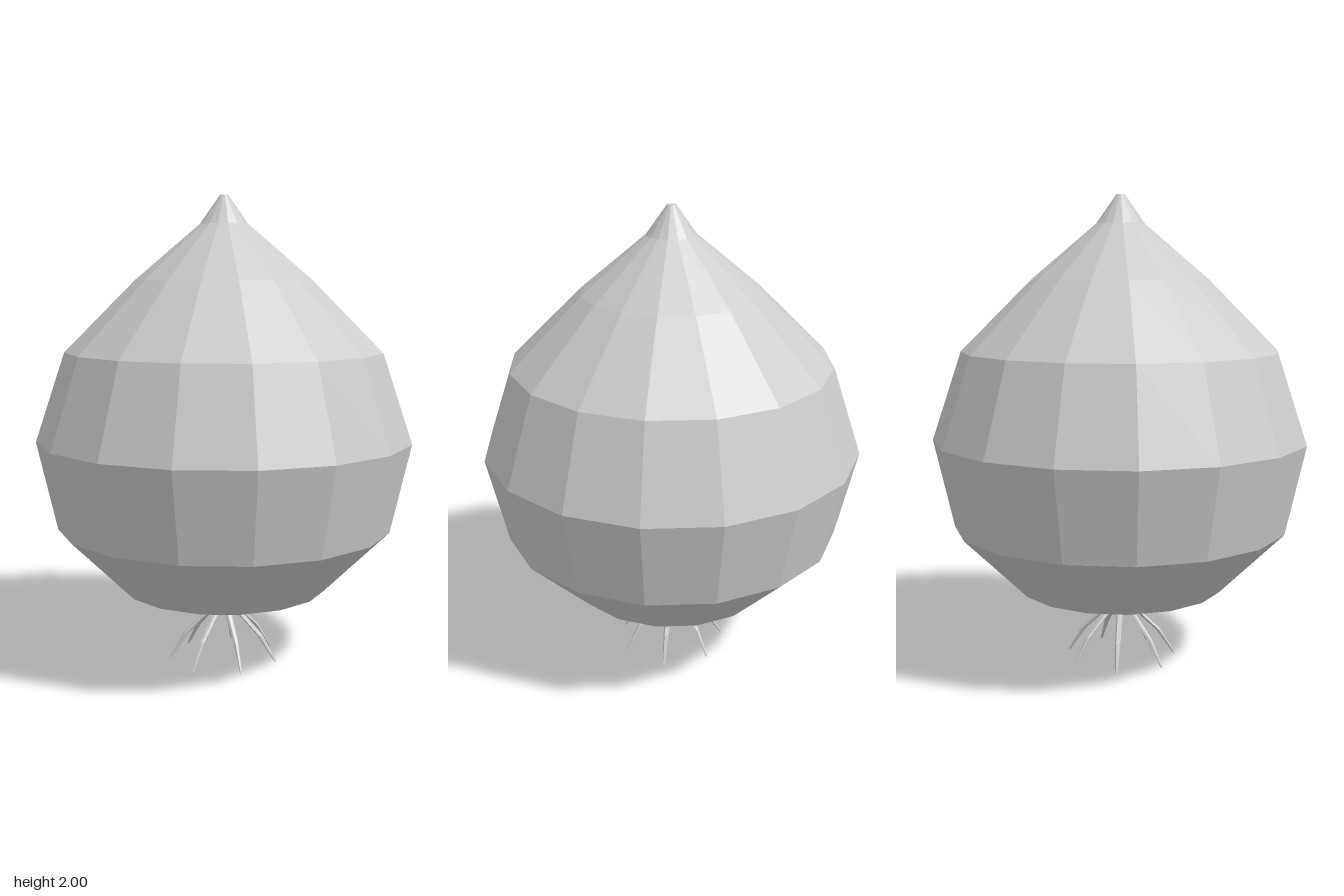
import * as THREE from 'three';

export function createModel() {
  const model = new THREE.Group();
  model.name = 'onion';
  const skin = new THREE.MeshStandardMaterial({ color: 0xcccccc, flatShading: true });
  skin.name = 'pale grey';

  // Bulb: sixteen-sided profile from the flat base up to the blunt tip
  const profile = [
    [0, 0.215], [0.1, 0.215], [0.44, 0.325], [0.715, 0.597], [0.8, 0.975],
    [0.675, 1.35], [0.375, 1.65], [0.103, 1.88], [0.018, 2], [0, 2],
  ].map(([r, y]) => new THREE.Vector2(r, y));
  const bulb = new THREE.Mesh(new THREE.LatheGeometry(profile, 16), skin);
  bulb.name = 'bulb';
  model.add(bulb);

  // Root: tapered strand whose three rings step outwards as they go down
  const rootGeometry = new THREE.CylinderGeometry(0.012, 0.004, 1, 6, 2);
  const rings = [
    { y: 0, out: 0.241, radius: 0.005 },
    { y: 0.11, out: 0.17, radius: 0.012 },
    { y: 0.222, out: 0.055, radius: 0.014 },
  ];
  const position = rootGeometry.attributes.position;
  for (let i = 0; i < position.count; i++) {
    const ring = rings[Math.round((position.getY(i) + 0.5) * 2)];
    const across = new THREE.Vector2(position.getX(i), position.getZ(i));
    if (across.length() > 1e-6) across.setLength(ring.radius);
    position.setXYZ(i, ring.out + across.x, ring.y, across.y);
  }
  rootGeometry.computeVertexNormals();

  // Seven roots spread evenly under the base
  const roots = new THREE.Group();
  roots.name = 'roots';
  roots.scale.z = 0.96;
  for (let i = 0; i < 7; i++) {
    const root = new THREE.Mesh(rootGeometry, skin);
    root.name = 'root';
    root.rotation.y = (i / 7) * Math.PI * 2;
    roots.add(root);
  }
  model.add(roots);
  return model;
}
